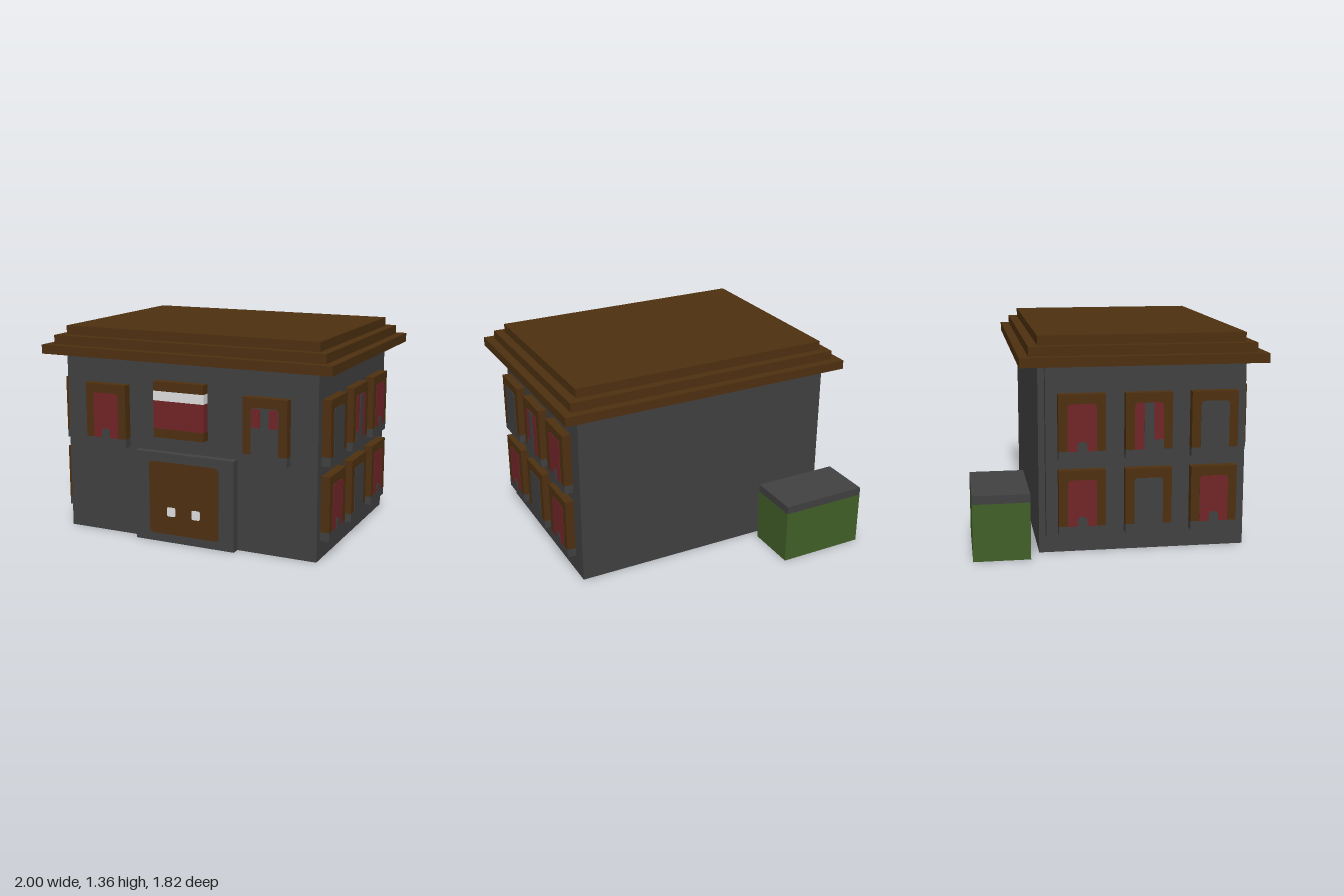
import * as THREE from 'three';

const mat = (name, color) => {
  const m = new THREE.MeshStandardMaterial({ color });
  m.name = name;
  return m;
};

export function createModel() {
  const stone = mat('dark stone', 0x414141);
  const wood = mat('dark wood', 0x4e3010);
  const red = mat('deep red', 0x722527);
  const white = mat('off white', 0xe0e0e0);
  const green = mat('bin green', 0x426028);

  const model = new THREE.Group();
  model.name = 'townHouse';

  // Box given by its extents on each axis
  function box(parent, name, material, [x0, x1], [y0, y1], [z0, z1]) {
    const mesh = new THREE.Mesh(new THREE.BoxGeometry(x1 - x0, y1 - y0, z1 - z0), material);
    mesh.position.set((x0 + x1) / 2, (y0 + y1) / 2, (z0 + z1) / 2);
    mesh.name = name;
    parent.add(mesh);
    return mesh;
  }

  // Thin plate with cut corners; top and bottom corner sizes are separate
  function plate(parent, name, material, [x0, x1], [y0, y1], z, top = 0, bottom = 0) {
    const s = new THREE.Shape();
    s.moveTo(x0 + bottom, y0);
    s.lineTo(x1 - bottom, y0);
    if (bottom) s.quadraticCurveTo(x1, y0, x1, y0 + bottom);
    s.lineTo(x1, y1 - top);
    if (top) s.quadraticCurveTo(x1, y1, x1 - top, y1);
    s.lineTo(x0 + top, y1);
    if (top) s.quadraticCurveTo(x0, y1, x0, y1 - top);
    s.lineTo(x0, y0 + bottom);
    if (bottom) s.quadraticCurveTo(x0, y0, x0 + bottom, y0);
    const geo = new THREE.ExtrudeGeometry(s, { depth: 0.003, bevelEnabled: false, curveSegments: 3 });
    const mesh = new THREE.Mesh(geo, material);
    mesh.position.z = z;
    mesh.name = name;
    parent.add(mesh);
    return mesh;
  }

  // Window facing +z, standing on its sill at the wall plane
  function makeWindow(style, flip = 1) {
    const w = new THREE.Group();
    w.name = 'window';
    const depth = 0.058;
    box(w, 'windowSill', stone, [-0.146, 0.146], [0, 0.057], [0, depth]);
    box(w, 'windowFrame', wood, [-0.146, 0.146], [0.057, 0.41], [0, depth]);
    const pane = style === 'drapes' ? red : style === 'dark' || style === 'valance' ? stone : red;
    plate(w, 'windowPane', pane, [-0.09, 0.09], [0.057, 0.35], depth, 0.025);
    const z = depth + 0.003;
    if (style === 'curtain') {
      plate(w, 'curtainGap', stone, [-0.03, 0.03], [0.057, 0.118], z, 0.025);
    } else if (style === 'drapes') {
      plate(w, 'drapeGap', stone, [-0.03, 0.03], [0.057, 0.35], z, 0.008);
      const edge = [-0.09 * flip, -0.03 * flip].sort((a, b) => a - b);
      plate(w, 'drapeCorner', stone, edge, [0.057, 0.118], z);
    } else if (style === 'valance') {
      for (const s of [-1, 1]) {
        const span = s < 0 ? [-0.086, -0.03] : [0.03, 0.086];
        plate(w, 'valance', red, span, [0.228, 0.345], z, 0.01);
      }
    }
    return w;
  }

  // Walls and door surround
  box(model, 'walls', stone, [-0.88, 0.88], [0, 1.18], [-0.5, 0.8]);
  box(model, 'doorSurround', stone, [-0.35, 0.35], [0, 0.59], [0.8, 0.855]);
  box(model, 'sidePost', stone, [-0.94, -0.88], [0.12, 1.18], [-0.46, -0.4]);

  // Stepped roof
  for (let i = 0; i < 3; i++) {
    const inset = i * 0.059;
    box(model, 'roofStep', wood, [-1 + inset, 1 - inset],
      [1.18 + inset, 1.239 + inset], [-0.617 + inset, 0.912 - inset]);
  }

  // Double door and handles
  plate(model, 'door', wood, [-0.247, 0.245], [0.055, 0.533], 0.855, 0.03, 0.03);
  for (const x of [-0.09, 0.086]) {
    plate(model, 'doorHandle', white, [x - 0.03, x + 0.03], [0.177, 0.238], 0.858, 0.012, 0.012);
  }

  // Hanging banner made of coloured bands
  const banner = new THREE.Group();
  banner.name = 'banner';
  model.add(banner);
  const bands = [[0.707, 0.765, wood], [0.765, 0.942, red], [0.942, 1.003, white], [1.003, 1.062, wood]];
  for (const [y0, y1, m] of bands) {
    box(banner, 'bannerBand', m, [-0.176, 0.174], [y0, y1], [0.855, 0.912]);
  }

  // Front windows
  [['curtain', -0.56], ['valance', 0.557]].forEach(([style, x]) => {
    const w = makeWindow(style);
    w.position.set(x, 0.593, 0.8);
    model.add(w);
  });

  // Side windows, mirrored on both walls
  const rows = [
    [0.12, ['curtain', 'dark', 'curtain']],
    [0.594, ['dark', 'drapes', 'curtain']],
  ];
  for (const side of [-1, 1]) {
    for (const [y, styles] of rows) {
      styles.forEach((style, i) => {
        const w = makeWindow(style, side);
        w.position.set(side * 0.88, y, 0.593 - i * 0.414);
        w.rotation.y = side * Math.PI / 2;
        model.add(w);
      });
    }
  }

  // Bin behind the house
  box(model, 'binBody', green, [-1, -0.415], [0, 0.36], [-0.912, -0.56]);
  box(model, 'binLid', stone, [-1, -0.415], [0.36, 0.413], [-0.912, -0.56]);

  return model;
}
